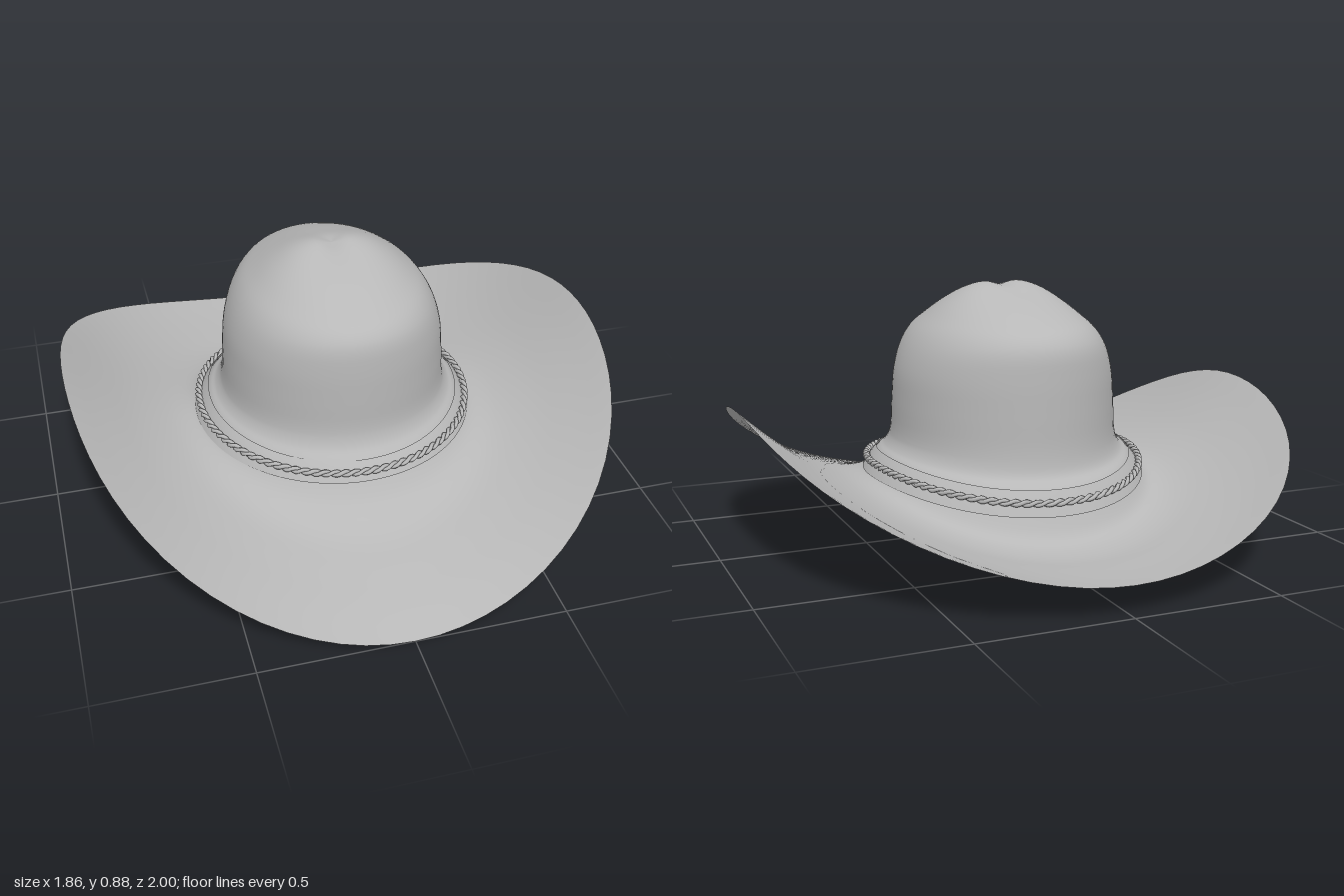
import * as THREE from 'three';

// Hat sections from the crown tip outwards: [front r, y, side r, y, back r, y]
const CROWN = [
  [0.001, 0.868, 0.001, 0.868, 0.001, 0.868],
  [0.06, 0.862, 0.06, 0.88, 0.06, 0.865],
  [0.14, 0.84, 0.13, 0.862, 0.14, 0.842],
  [0.22, 0.81, 0.2, 0.82, 0.22, 0.815],
  [0.3, 0.77, 0.26, 0.77, 0.32, 0.775],
  [0.36, 0.735, 0.31, 0.72, 0.385, 0.74],
  [0.39, 0.69, 0.345, 0.66, 0.42, 0.69],
  [0.4, 0.6, 0.37, 0.58, 0.43, 0.6],
  [0.4, 0.48, 0.38, 0.48, 0.432, 0.48],
  [0.4, 0.37, 0.39, 0.36, 0.435, 0.35],
  [0.415, 0.32, 0.41, 0.325, 0.45, 0.29],
];
const BAND = [
  [0.44, 0.29, 0.43, 0.31, 0.485, 0.26],
  [0.46, 0.265, 0.455, 0.28, 0.505, 0.225],
  [0.48, 0.23, 0.48, 0.24, 0.525, 0.18],
];
const BRIM = [
  [0.53, 0.165, 0.52, 0.233, 0.57, 0.11],
  [0.62, 0.11, 0.58, 0.245, 0.66, 0.085],
  [0.75, 0.075, 0.69, 0.3, 0.78, 0.088],
  [0.88, 0.04, 0.81, 0.39, 0.9, 0.093],
  [1.0, 0.0, 0.93, 0.495, 1.0, 0.1],
];
const SIDES = 80;

// Point of a section at angle t (0 = front, quarter turn = left side)
function sectionPoint([fr, fy, sr, sy, br, by], t, grow = 0) {
  const s = Math.sin(t), c = Math.cos(t);
  const [er, ey] = c >= 0 ? [fr, fy] : [br, by];
  let r = 1 / Math.hypot(s / sr, c / er) + grow;
  r += 0.045 * Math.sin(2 * t) ** 2 * Math.max(0, (er - 0.6) / 0.4);
  return new THREE.Vector3(r * s, ey * c * c + sy * s * s, r * c);
}

// Smooth surface through the sections, closed around the hat
function shell(sections, steps, grow = 0) {
  const pos = [], index = [];
  for (let j = 0; j < SIDES; j++) {
    const t = (j / SIDES) * Math.PI * 2;
    const curve = new THREE.CatmullRomCurve3(sections.map((q) => sectionPoint(q, t, grow)), false, 'centripetal');
    for (let i = 0; i <= steps; i++) pos.push(...curve.getPoint(i / steps).toArray());
  }
  const n = steps + 1;
  for (let j = 0; j < SIDES; j++) {
    const k = (j + 1) % SIDES;
    for (let i = 0; i < steps; i++) {
      const a = j * n + i, b = a + 1, d = k * n + i, c = d + 1;
      index.push(a, b, c, a, c, d);
    }
  }
  const g = new THREE.BufferGeometry();
  g.setAttribute('position', new THREE.Float32BufferAttribute(pos, 3));
  g.setIndex(index);
  g.computeVertexNormals();
  return g;
}

// One strand of the twisted cord, winding round the band
class Strand extends THREE.Curve {
  constructor(phase) {
    super();
    this.phase = phase;
  }
  getPoint(u, target = new THREE.Vector3()) {
    const t = u * Math.PI * 2, w = t * 45 + this.phase;
    target.copy(sectionPoint(BAND[1], t, 0.017 + 0.006 * Math.cos(w)));
    target.y += 0.006 * Math.sin(w);
    return target;
  }
}

export function createModel() {
  const hat = new THREE.Group();
  hat.name = 'hat';
  const felt = new THREE.MeshStandardMaterial({ color: 0xb8b8b8, side: THREE.DoubleSide });
  felt.name = 'grey felt';
  const add = (name, geometry, parent = hat) => {
    const mesh = new THREE.Mesh(geometry, felt);
    mesh.name = name;
    parent.add(mesh);
  };

  // Crown and brim are one continuous piece of felt
  add('crownAndBrim', shell([...CROWN, ...BAND, ...BRIM], 72));
  add('hatBand', shell(BAND, 4, 0.006));

  // Twisted cord
  const cord = new THREE.Group();
  cord.name = 'cord';
  hat.add(cord);
  for (const [i, phase] of [0, Math.PI].entries()) {
    add('cordStrand' + (i + 1), new THREE.TubeGeometry(new Strand(phase), 540, 0.007, 6, true), cord);
  }
  return hat;
}
